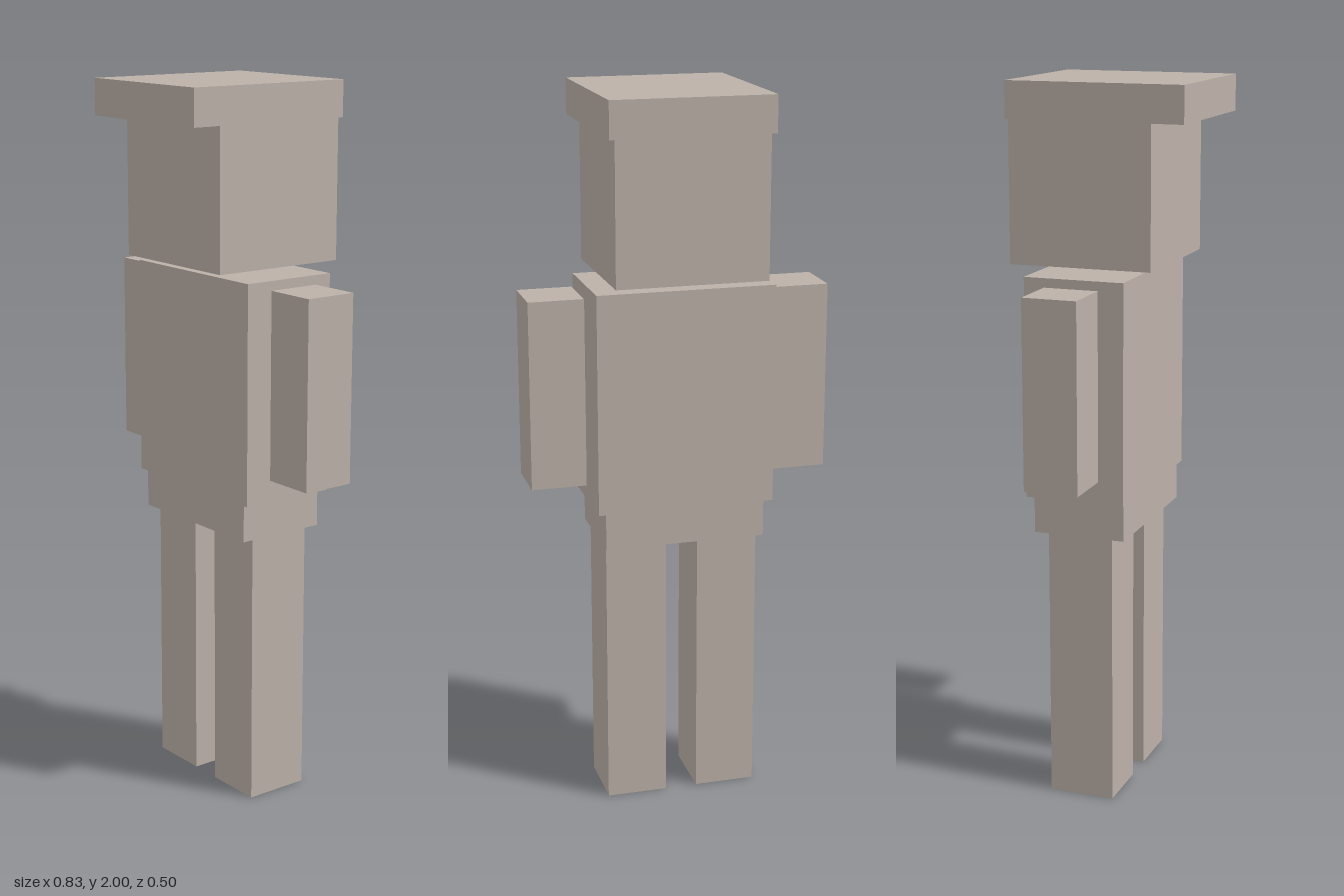
import * as THREE from 'three';

export function createModel() {
  const model = new THREE.Group();
  model.name = 'blockFigure';

  const clay = new THREE.MeshStandardMaterial({ color: 0xbcb1a9 });
  clay.name = 'warm grey';

  // Box from its lower and upper corner
  function block(name, [x0, y0, z0], [x1, y1, z1]) {
    const mesh = new THREE.Mesh(new THREE.BoxGeometry(x1 - x0, y1 - y0, z1 - z0), clay);
    mesh.position.set((x0 + x1) / 2, (y0 + y1) / 2, (z0 + z1) / 2);
    mesh.name = name;
    model.add(mesh);
  }

  // Cap with a brim overhanging the face
  block('cap', [-0.225, 1.9, -0.248], [0.222, 2, 0.248]);
  block('head', [-0.21, 1.513, -0.245], [0.207, 1.9, 0.154]);

  // Body
  block('torso', [-0.248, 0.878, -0.19], [0.246, 1.488, 0.092]);
  block('hips', [-0.226, 0.772, -0.176], [0.223, 0.878, 0.085]);

  // Paired limbs, floating arms beside the torso
  for (const [side, s] of [['left', 1], ['right', -1]]) {
    const cx = -0.001;
    const limb = (name, inner, outer, y0, y1, z0, z1) => {
      const a = cx + s * inner, b = cx + s * outer;
      block(side + name, [Math.min(a, b), y0, z0], [Math.max(a, b), y1, z1]);
    };
    limb('Arm', 0.265, 0.417, 0.946, 1.466, -0.125, 0.027);
    limb('Leg', 0.045, 0.216, 0, 0.772, -0.138, 0.048);
  }

  return model;
}
